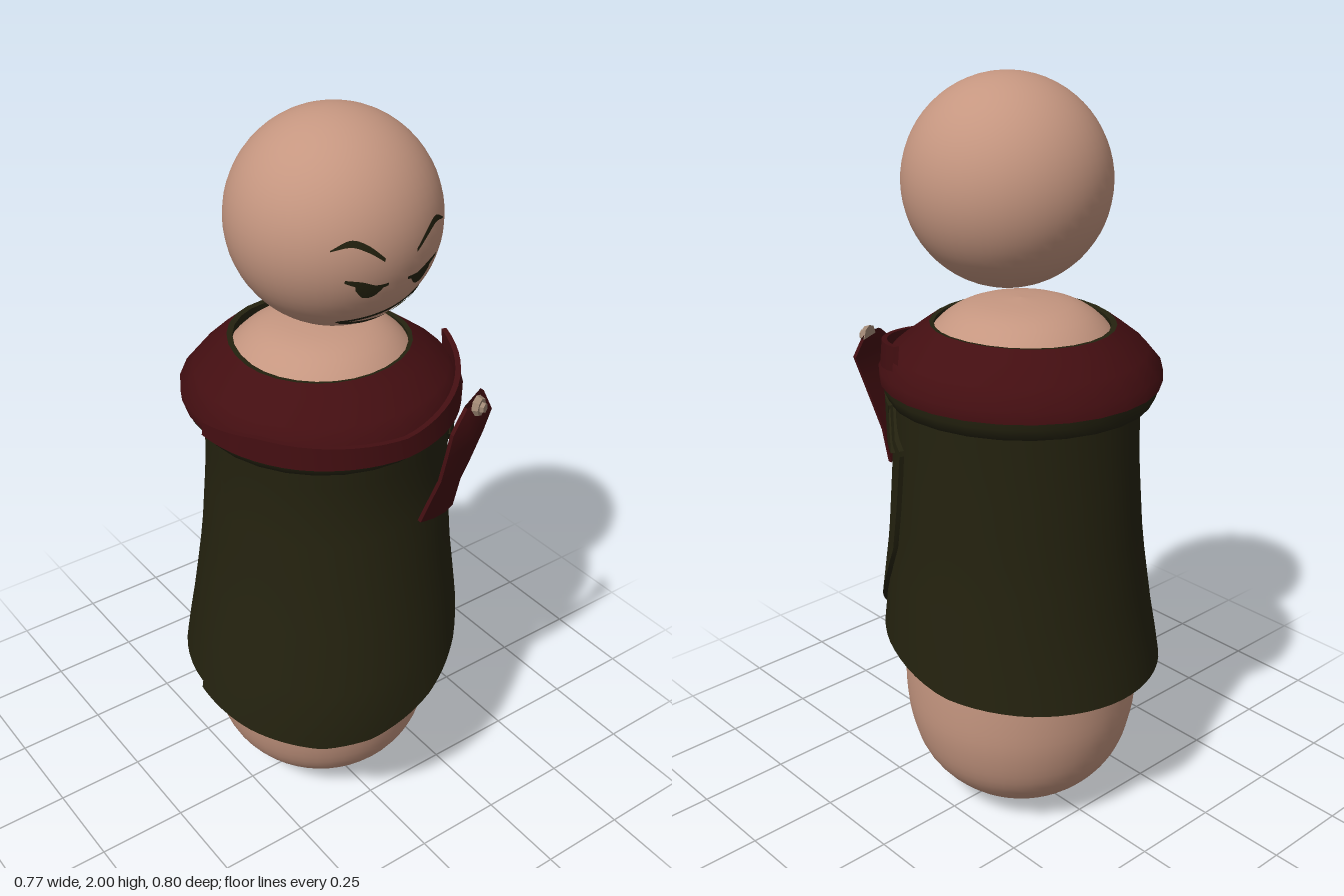
import * as THREE from 'three';
import { toCreasedNormals } from 'three/addons/utils/BufferGeometryUtils.js';

const mat = (name, color, side = THREE.FrontSide) => {
  const m = new THREE.MeshStandardMaterial({ color, side });
  m.name = name;
  return m;
};
const rad = (d) => (d * Math.PI) / 180;

// Piecewise linear lookup: rows are [key, value, value...] with rising keys
function lookup(rows, k) {
  if (k <= rows[0][0]) return rows[0].slice(1);
  for (let i = 1; i < rows.length; i++) {
    const a = rows[i - 1], b = rows[i];
    if (k <= b[0]) {
      const t = (k - a[0]) / (b[0] - a[0]);
      return a.slice(1).map((v, n) => v + (b[n + 1] - v) * t);
    }
  }
  return rows[rows.length - 1].slice(1);
}

// Point around the figure: extents are [toRight, toLeft, toFront, toBack], 0 degrees is the front
function around([xr, xl, zf, zb], deg, y, off) {
  const s = Math.sin(rad(deg)), c = Math.cos(rad(deg));
  return [s * (s > 0 ? xl + off : xr + off), y, c * (c > 0 ? zf + off : zb + off)];
}

function gridGeometry(columns, crease) {
  const n = columns[0].length, index = [];
  for (let i = 0; i < columns.length - 1; i++) {
    for (let j = 0; j < n - 1; j++) {
      const a = i * n + j, b = a + n;
      index.push(a, b, a + 1, b, b + 1, a + 1);
    }
  }
  const g = new THREE.BufferGeometry();
  g.setAttribute('position', new THREE.Float32BufferAttribute(columns.flat(2), 3));
  g.setIndex(index);
  return toCreasedNormals(g, crease);
}

// Cloth wrapped around the figure, with an outer face, an inner face and rims
function cloth(profile, from, to, low, high, off = 0, thick = 0.014, steps = 48, rows = 10) {
  const columns = [];
  for (let i = 0; i <= steps; i++) {
    const deg = from + ((to - from) * i) / steps;
    const lo = lookup(low, deg)[0], hi = lookup(high, deg)[0], column = [];
    for (let k = 0; k <= 2 * rows + 1; k++) {
      const inner = k > rows, t = (inner ? 2 * rows + 1 - k : k) / rows;
      const y = lo + (hi - lo) * t;
      column.push(around(lookup(profile, y), deg, y, off - (inner ? thick : 0)));
    }
    column.push(column[0]);
    columns.push(column);
  }
  return gridGeometry(columns, 0.7);
}

// Open ring of cross-sections [y, right, left, front, back], listed from the bottom up
function ring(sections, steps = 28) {
  const columns = [];
  for (let i = 0; i <= steps; i++) {
    columns.push(sections.map(([y, ...e]) => around(e, -180 + (360 * i) / steps, y, 0)));
  }
  return gridGeometry(columns, 0.9);
}

export function createModel() {
  const group = new THREE.Group();
  const skin = mat('skin', 0xc59680);
  const green = mat('dark olive cloth', 0x24220f, THREE.DoubleSide);
  const red = mat('dark red cloth', 0x430e11, THREE.DoubleSide);
  const metal = mat('clasp metal', 0xa08875);
  const add = (name, geometry, material, parent = group) => {
    const mesh = new THREE.Mesh(geometry, material);
    mesh.name = name;
    parent.add(mesh);
    return mesh;
  };

  // Floating head
  const centre = new THREE.Vector3(0.012, 1.738, 0.03), R = 0.264;
  add('head', new THREE.SphereGeometry(R, 48, 32), skin).position.copy(centre);

  // Bean-shaped body
  const bodyProfile = new THREE.SplineCurve([
    [0, 0], [0.1, 0.012], [0.2, 0.065], [0.275, 0.15], [0.312, 0.26], [0.322, 0.38], [0.315, 0.55],
    [0.285, 0.85], [0.272, 1.1], [0.262, 1.3], [0.215, 1.385], [0.13, 1.435], [0, 1.45],
  ].map(([x, y]) => new THREE.Vector2(x, y))).getPoints(48);
  bodyProfile.forEach((p) => { p.x = Math.max(p.x, 0); });
  add('body', new THREE.LatheGeometry(bodyProfile, 48), skin).position.set(0.012, 0, -0.02);

  // Face details laid on the head as thin strips
  const face = new THREE.Group();
  face.name = 'face';
  group.add(face);
  const onHead = (x, y) => {
    const dx = x - centre.x, dy = y - centre.y, r = R + 0.002;
    return [x, y, centre.z + Math.sqrt(Math.max(r * r - dx * dx - dy * dy, 0))];
  };
  // Strip between an upper and a lower line of points
  const faceStrip = (name, upper, lower) => {
    const line = (pts) => new THREE.SplineCurve(pts.map((p) => new THREE.Vector2(...p))).getPoints(16);
    const a = line(upper), b = line(lower);
    const columns = a.map((p, i) => [0, 0.25, 0.5, 0.75, 1].map((t) => {
      const q = b[i].clone().lerp(p, t);
      return onHead(q.x, q.y);
    }));
    add(name, gridGeometry(columns, 1), green, face);
  };
  for (const [side, label] of [[-1, 'right'], [1, 'left']]) {
    const m = (pts) => pts.map(([x, y]) => [0.012 + side * x, y]);
    faceStrip(label + 'Brow',
      m([[0.045, 1.735], [0.085, 1.772], [0.122, 1.787], [0.162, 1.765]]),
      m([[0.047, 1.727], [0.085, 1.755], [0.122, 1.771], [0.162, 1.762]]));
    faceStrip(label + 'EyeLid',
      m([[0.028, 1.668], [0.06, 1.668], [0.095, 1.682], [0.132, 1.69]]),
      m([[0.028, 1.660], [0.06, 1.655], [0.095, 1.665], [0.132, 1.682]]));
    faceStrip(label + 'Pupil',
      m([[0.04, 1.664], [0.062, 1.664], [0.085, 1.672], [0.108, 1.674]]),
      m([[0.042, 1.655], [0.06, 1.636], [0.085, 1.636], [0.106, 1.66]]));
  }
  faceStrip('mouthTop', [[-0.09, 1.55], [0, 1.567], [0.06, 1.586], [0.108, 1.615]],
    [[-0.09, 1.54], [0, 1.555], [0.06, 1.572], [0.108, 1.597]]);
  faceStrip('mouthBottom', [[-0.08, 1.546], [-0.02, 1.54], [0.04, 1.541], [0.104, 1.557]],
    [[-0.08, 1.536], [-0.02, 1.524], [0.04, 1.525], [0.104, 1.541]]);
  faceStrip('mouthCorner', [[0.094, 1.605], [0.094, 1.575], [0.092, 1.545]],
    [[0.108, 1.612], [0.107, 1.575], [0.104, 1.545]]);

  // Flaring tunic, keyed by height
  const tunic = [
    [0.36, 0.388, 0.38, 0.385, 0.405], [0.45, 0.378, 0.375, 0.39, 0.395], [0.6, 0.352, 0.362, 0.368, 0.368],
    [0.8, 0.318, 0.342, 0.333, 0.347], [1.05, 0.293, 0.335, 0.295, 0.335], [1.26, 0.298, 0.335, 0.305, 0.332],
  ];
  const collarHeight = [[0, 1.24]];
  add('tunic', cloth(tunic, -180, 180,
    [[-180, 0.43], [-90, 0.42], [-45, 0.43], [0, 0.49], [45, 0.525], [75, 0.5], [105, 0.455], [140, 0.44], [180, 0.43]],
    collarHeight, 0, 0.014, 64), green);
  // Front flap wrapping over to the left side
  add('frontFlap', cloth(tunic, -92, 74,
    [[-92, 0.42], [-65, 0.385], [-35, 0.36], [-15, 0.375], [0, 0.415], [22, 0.48], [36, 0.525], [49, 0.6], [60, 0.7], [68, 0.8], [74, 1.07]],
    [[35, 1.23], [55, 1.13], [74, 1.085]], 0.013), green);
  add('foldedCorner', cloth(tunic, 38, 68, [[38, 1.16], [52, 1.09], [68, 1.07]], [[38, 1.22], [68, 1.2]],
    0.026, 0.012, 8, 3), green);

  // Collar: green lining below and inside, red cape on top
  add('collarLining', ring([
    [1.185, 0.29, 0.325, 0.3, 0.325], [1.195, 0.322, 0.348, 0.325, 0.365],
    [1.225, 0.342, 0.36, 0.345, 0.379], [1.26, 0.345, 0.362, 0.345, 0.38],
  ]), green);
  add('collar', ring([
    [1.24, 0.338, 0.355, 0.343, 0.374], [1.243, 0.352, 0.368, 0.352, 0.386], [1.275, 0.357, 0.37, 0.35, 0.38],
    [1.32, 0.32, 0.335, 0.31, 0.343], [1.365, 0.26, 0.275, 0.25, 0.3], [1.39, 0.225, 0.24, 0.215, 0.272],
  ]), red);
  add('collarInnerRim', ring([
    [1.39, 0.225, 0.24, 0.215, 0.272], [1.388, 0.21, 0.228, 0.205, 0.257], [1.33, 0.215, 0.235, 0.21, 0.262],
  ]), green);

  // Sash across the front, rising to the left shoulder
  add('sash', cloth([[1.22, 0.372, 0.362, 0.367, 0.37], [1.3, 0.366, 0.352, 0.363, 0.37], [1.36, 0.36, 0.345, 0.36, 0.37]],
    -88, 75, [[-88, 1.25], [-45, 1.238], [0, 1.232], [35, 1.245], [75, 1.3]],
    [[-88, 1.285], [-60, 1.305], [0, 1.285], [35, 1.32], [75, 1.362]], 0, 0.014, 30, 3), red);

  // Hanging sash end: [y, right edge, left edge, depth]
  const tailRows = [[0.975, 0.07, 0.216, 0.335], [1.05, 0.082, 0.222, 0.352], [1.12, 0.1, 0.237, 0.37],
    [1.2, 0.105, 0.258, 0.385], [1.26, 0.115, 0.278, 0.389], [1.31, 0.17, 0.262, 0.372]];
  const tailColumns = [];
  for (const [t, back] of [[0, 0], [0.33, 0], [0.67, 0], [1, 0], [1, 0.012], [0, 0.012], [0, 0]]) {
    tailColumns.push(tailRows.map(([y, r, l, z], i) =>
      [r + (l - r) * t, y + (i === 0 ? 0.015 - 0.03 * t : 0), z - 0.045 * t * t - back]));
  }
  add('sashTail', gridGeometry(tailColumns, 0.6), red);

  // Clasp: six-sided stud with a raised centre
  const clasp = new THREE.Group();
  clasp.name = 'clasp';
  clasp.position.set(0.212, 1.3, 0.367);
  clasp.rotation.y = 0.4;
  group.add(clasp);
  for (const [name, r, depth, z, sides] of [['claspBase', 0.029, 0.016, 0, 8], ['claspStud', 0.016, 0.016, 0.01, 6]]) {
    const g = new THREE.CylinderGeometry(r * 0.8, r, depth, sides).rotateX(Math.PI / 2);
    add(name, toCreasedNormals(g, 0.3), metal, clasp).position.z = z;
  }
  return group;
}
